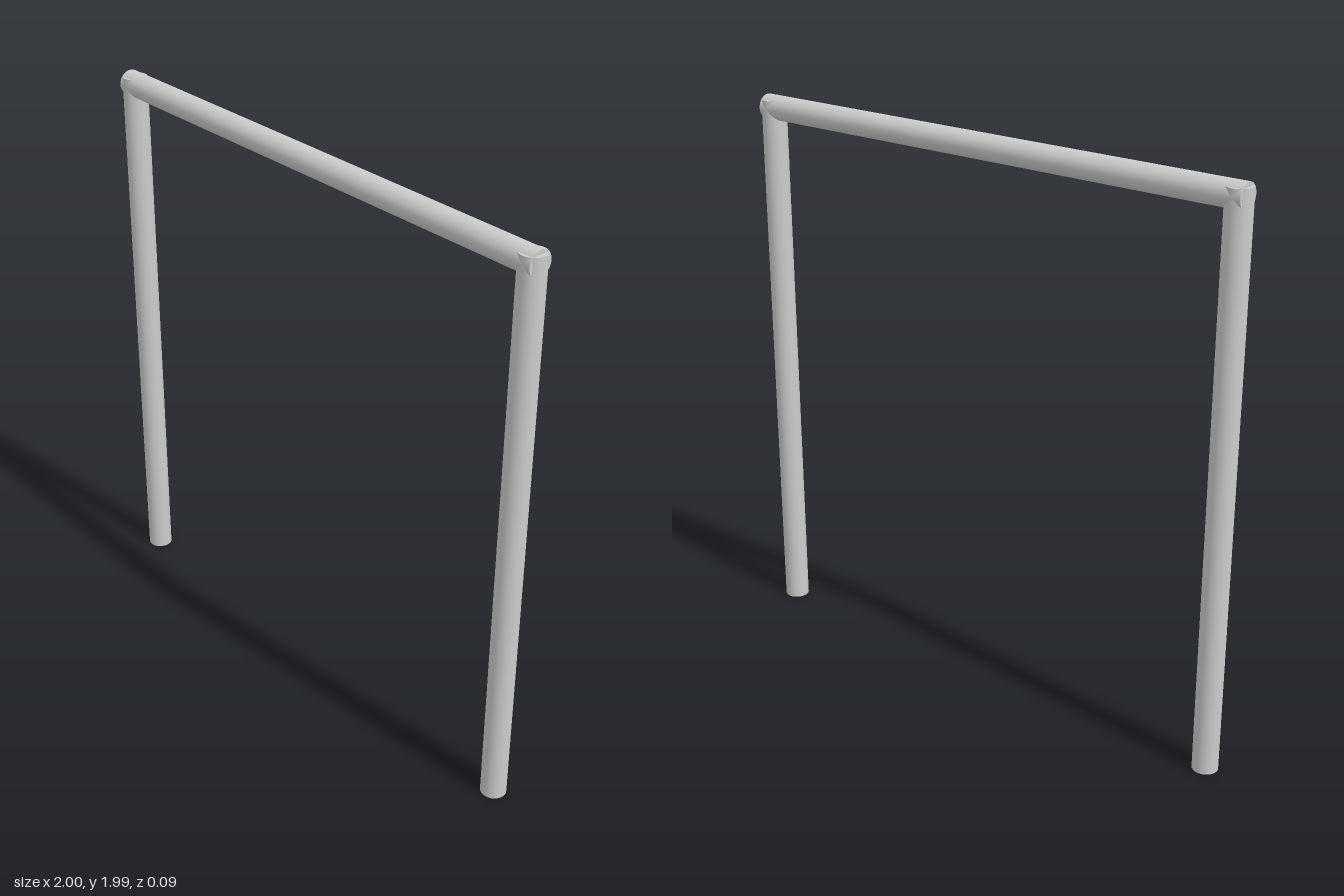
import * as THREE from 'three';

export function createModel() {
  const group = new THREE.Group();
  const material = new THREE.MeshStandardMaterial({ color: 0xcccccc });
  const radius = 0.044;
  const postHeight = 1.97;
  const barLength = 1.97;

  // Round capped pole
  function addPole(name, length) {
    const mesh = new THREE.Mesh(new THREE.CylinderGeometry(radius, radius, length, 32), material);
    mesh.name = name;
    group.add(mesh);
    return mesh;
  }

  // Two upright posts
  for (const [name, side] of [['leftPost', 1], ['rightPost', -1]]) {
    addPole(name, postHeight).position.set(side * (1 - radius), postHeight / 2, 0);
  }

  // Crossbar, its ends passing through the post tops
  const crossbar = addPole('crossbar', barLength);
  crossbar.rotation.z = Math.PI / 2;
  crossbar.position.y = 1.942;

  return group;
}
